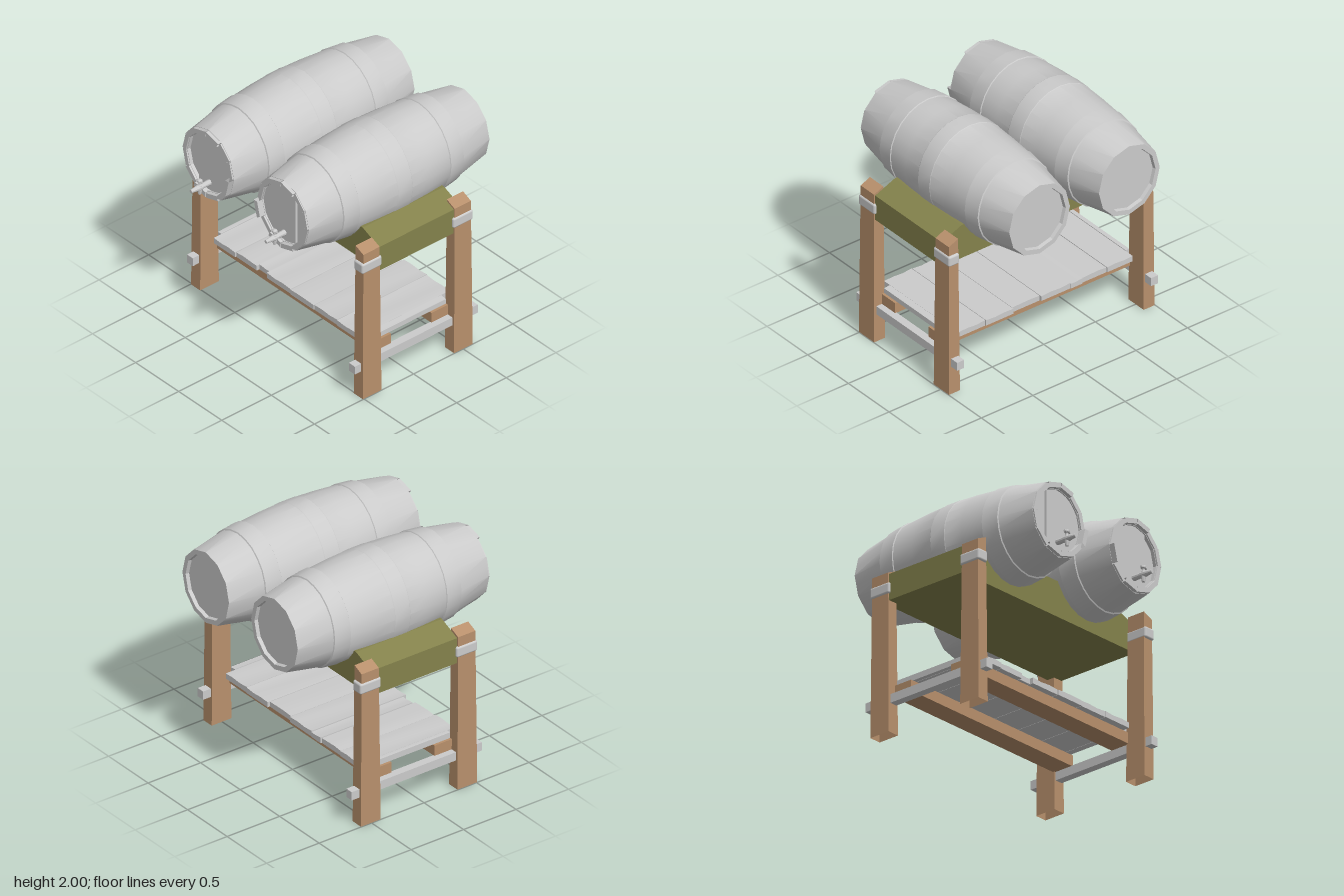
import * as THREE from 'three';
import { toCreasedNormals } from 'three/addons/utils/BufferGeometryUtils.js';
import { RoundedBoxGeometry } from 'three/addons/geometries/RoundedBoxGeometry.js';

const grey = new THREE.MeshStandardMaterial({ color: 0xcccccc });
const greyThin = new THREE.MeshStandardMaterial({ color: 0xcccccc, side: THREE.DoubleSide });
const wood = new THREE.MeshStandardMaterial({ color: 0xb8906c, side: THREE.DoubleSide });
const olive = new THREE.MeshStandardMaterial({ color: 0x84824c });

function add(parent, name, geometry, material) {
  const mesh = new THREE.Mesh(geometry, material);
  mesh.name = name;
  parent.add(mesh);
  return mesh;
}

// Box given by its limits on each axis
function box(parent, name, material, [x0, x1], [y0, y1], [z0, z1]) {
  const mesh = add(parent, name, new THREE.BoxGeometry(x1 - x0, y1 - y0, z1 - z0), material);
  mesh.position.set((x0 + x1) / 2, (y0 + y1) / 2, (z0 + z1) / 2);
  return mesh;
}

// Lathe whose axis lies along z; points are [radius, z]
function latheZ(points, segments, start = 0, length = Math.PI * 2) {
  const profile = points.map(([r, z]) => new THREE.Vector2(r, z));
  return new THREE.LatheGeometry(profile, segments, start, length).rotateX(Math.PI / 2);
}

function bodyGeometry() {
  const geometry = latheZ([
    [0, -0.97], [0.25, -0.97], [0.255, -1], [0.295, -1], [0.347, -0.695],
    [0.357, -0.69], [0.372, -0.55], [0.365, -0.545], [0.381, -0.34],
    [0.389, -0.145], [0.392, -0.14], [0.392, 0], [0.389, 0.005], [0.381, 0.17],
    [0.365, 0.365], [0.372, 0.37], [0.357, 0.515], [0.347, 0.52],
    [0.295, 0.82], [0.245, 0.82], [0.245, 0.79], [0, 0.79],
  ], 24);
  // The round belly flattens to twelve sides at both ends
  const p = geometry.attributes.position;
  for (let i = 0; i < p.count; i++) {
    const x = p.getX(i), y = p.getY(i), d = Math.abs(p.getZ(i) + 0.09);
    const step = Math.round(Math.atan2(y, x) / (Math.PI / 12));
    if (step % 2 === 0) continue;
    const t = THREE.MathUtils.clamp((d - 0.55) / 0.3, 0, 1);
    const k = 1 - t * (1 - Math.cos(Math.PI / 12));
    p.setXY(i, x * k, y * k);
  }
  return toCreasedNormals(geometry, 0.5);
}

function createBarrel(side) {
  const barrel = new THREE.Group();
  barrel.name = side > 0 ? 'leftBarrel' : 'rightBarrel';
  barrel.position.set(side * 0.435, 1.582, 0);

  const cask = new THREE.Group();
  cask.name = 'cask';
  cask.scale.y = 1.055;
  barrel.add(cask);
  add(cask, 'barrelBody', bodyGeometry(), grey);

  // Uneven stave ends around the front head
  const depths = [0.03, 0.015, 0.05, 0.012, 0.01, 0.03, 0.03, 0.01, 0.012, 0.01, 0.015, 0.03];
  depths.forEach((d, k) => {
    const slot = side < 0 ? k : 11 - k;
    const z = 0.82 + d;
    const geometry = latheZ([[0.245, 0.79], [0.292, 0.8], [0.29, z], [0.25, z], [0.245, 0.79]],
      1, slot * Math.PI / 6 + 0.01, Math.PI / 6 - 0.02);
    add(cask, 'staveEnd', toCreasedNormals(geometry, 0.5), greyThin);
  });

  // Raised boards of the head, ending in a straight step on the outer side
  const a = Math.acos(0.125 / 0.245);
  const boards = new THREE.Shape();
  for (let i = 0; i <= 10; i++) {
    const t = -(Math.PI - a) + (i / 10) * 2 * (Math.PI - a);
    const x = -side * 0.243 * Math.cos(t), y = -side * 0.243 * Math.sin(t);
    if (i) boards.lineTo(x, y); else boards.moveTo(x, y);
  }
  boards.closePath();
  const head = add(cask, 'headBoards',
    new THREE.ExtrudeGeometry(boards, { depth: 0.022, bevelEnabled: false }), grey);
  head.position.z = 0.788;

  // Tap
  const tap = new THREE.Group();
  tap.name = 'tap';
  tap.position.y = -0.182;
  barrel.add(tap);
  add(tap, 'spout', toCreasedNormals(latheZ([
    [0, 0.79], [0.025, 0.79], [0.022, 0.87], [0.026, 0.9], [0.024, 0.93], [0.014, 1], [0, 1],
  ], 10), 0.6), grey);
  const stem = add(tap, 'valve', toCreasedNormals(new THREE.LatheGeometry([
    [0, -0.062], [0.013, -0.062], [0.02, -0.02], [0.02, 0.02], [0.011, 0.03], [0.011, 0.045],
    [0.022, 0.052], [0.022, 0.065], [0.01, 0.075], [0, 0.075],
  ].map(([r, y]) => new THREE.Vector2(r, y)), 8), 0.6), grey);
  stem.position.z = 0.91;
  const grip = add(tap, 'handle', new THREE.CylinderGeometry(0.01, 0.01, 0.06, 8), grey);
  grip.rotation.z = Math.PI / 2;
  grip.position.set(0, 0.058, 0.91);
  return barrel;
}

// Tapered post, open underneath, with a top that slopes outward
function postGeometry(side) {
  const geometry = new THREE.BoxGeometry(0.106, 1.38, 0.188);
  const p = geometry.attributes.position;
  for (let i = 0; i < p.count; i++) {
    if (p.getY(i) < 0) continue;
    const x = p.getX(i);
    if (x * side > 0) p.setY(i, 0.65);
    p.setX(i, x * 0.85);
    p.setZ(i, p.getZ(i) * 0.87);
  }
  const index = Array.from(geometry.index.array);
  index.splice(18, 6);
  geometry.setIndex(index);
  geometry.clearGroups();
  return toCreasedNormals(geometry, 0.3);
}

function createCradle() {
  const cx = 0.435, cy = 1.582, r = 0.372;
  const top = 1.41, a = Math.asin((cy - top) / r);
  const s = new THREE.Shape();
  s.moveTo(-0.98, 1.11);
  s.lineTo(0.98, 1.11);
  s.lineTo(0.98, 1.33);
  s.lineTo(0.79, top);
  s.absarc(cx, cy, r, -a, -Math.PI + a, true);
  s.absarc(-cx, cy, r, -a, -Math.PI + a, true);
  s.lineTo(-0.79, top);
  s.lineTo(-0.98, 1.33);
  s.closePath();
  return new THREE.ExtrudeGeometry(s, { depth: 0.82, bevelEnabled: false, curveSegments: 12 });
}

// Shelf plank with a gently worn top
function plank(parent, x0, x1, z0, z1, i) {
  const g = new THREE.BoxGeometry(x1 - x0 - 0.004, 0.05, z1 - z0, 3, 1, 1);
  const p = g.attributes.position;
  for (let v = 0; v < p.count; v++) {
    if (p.getY(v) > 0) p.setY(v, 0.021 + 0.004 * Math.sin(p.getX(v) * 30 + i * 2));
  }
  g.computeVertexNormals();
  const mesh = add(parent, 'shelfPlank', g, grey);
  mesh.position.set((x0 + x1) / 2, 0.435, (z0 + z1) / 2);
}

export function createModel() {
  const model = new THREE.Group();
  model.name = 'barrelStand';

  for (const side of [-1, 1]) {
    model.add(createBarrel(side));

    // Posts with metal bands
    for (const z of [0.415, -0.505]) {
      const post = add(model, 'post', postGeometry(side), wood);
      post.position.set(side * 0.944, 0.69, z);
      const band = add(model, 'postBand', new RoundedBoxGeometry(0.104, 0.094, 0.2, 3, 0.018), grey);
      band.position.set(side * 0.948, 1.21, z);
    }

    // Side stretcher running through both posts
    const xs = [side * 0.94 - 0.034, side * 0.94 + 0.034];
    box(model, 'sideStretcher', grey, xs, [0.247, 0.32], [-0.67, 0.57]);
  }

  add(model, 'cradle', createCradle(), olive).position.z = -0.49;

  // Long rails under the shelf
  box(model, 'frontRail', wood, [-0.92, 0.92], [0.318, 0.41], [0.16, 0.34]);
  box(model, 'backRail', wood, [-0.92, 0.92], [0.318, 0.41], [-0.43, -0.25]);

  // Shelf planks of uneven length
  const cuts = [-0.86, -0.61, -0.37, -0.25, 0.03, 0.3, 0.57, 0.84];
  const fronts = [0.4, 0.39, 0.365, 0.395, 0.4, 0.395, 0.4];
  const backs = [-0.505, -0.5, -0.51, -0.505, -0.49, -0.51, -0.505];
  fronts.forEach((front, i) => plank(model, cuts[i], cuts[i + 1], backs[i], front, i));
  plank(model, -0.9, -0.86, -0.415, 0.325, 7);
  plank(model, 0.84, 0.9, -0.415, 0.325, 8);

  return model;
}
